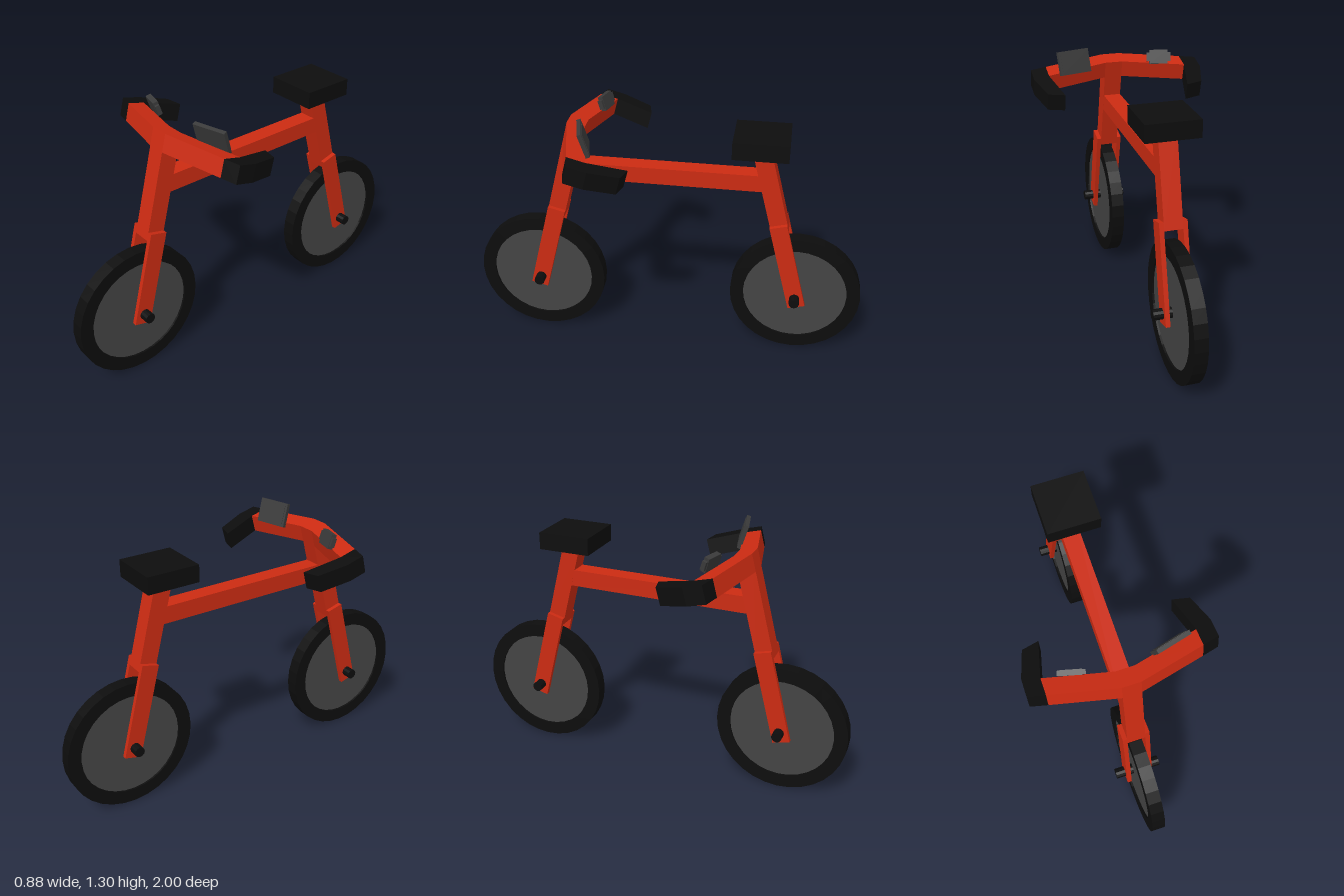
import * as THREE from 'three';

const mat = (color) => new THREE.MeshStandardMaterial({ color, flatShading: true });
const red = mat(0xcc2b12), black = mat(0x0d0d0d), grey = mat(0x444444), darkGrey = mat(0x3a3a3a);

const WHEEL_R = 0.333, AXLE_Z = 0.667, RAKE = 0.255;

function add(parent, name, geometry, material, x = 0, y = 0, z = 0) {
  const mesh = new THREE.Mesh(geometry, material);
  mesh.name = name;
  mesh.position.set(x, y, z);
  parent.add(mesh);
  return mesh;
}

const box = (w, h, d) => new THREE.BoxGeometry(w, h, d);

// cylinder lying along x
const rod = (r, length, sides) => new THREE.CylinderGeometry(r, r, length, sides).rotateZ(Math.PI / 2);

// plan outline (x, forward) turned into a slab hanging down from y = 0
function slab(points, thickness) {
  const shape = new THREE.Shape(points.map(([x, f]) => new THREE.Vector2(x, f)));
  return new THREE.ExtrudeGeometry(shape, { depth: thickness, bevelEnabled: false }).rotateX(Math.PI / 2);
}

function createWheel() {
  const wheel = new THREE.Group();
  wheel.name = 'wheel';
  const w = 0.033, inner = 0.265;
  const profile = [[inner, -w], [WHEEL_R, -w], [WHEEL_R, w], [inner, w], [inner, -w]]
    .map(([r, y]) => new THREE.Vector2(r, y));
  add(wheel, 'tyre', new THREE.LatheGeometry(profile, 32).rotateZ(Math.PI / 2), black);
  add(wheel, 'wheelDisc', rod(inner + 0.005, 0.046, 32), grey);
  add(wheel, 'axle', rod(0.026, 0.23, 12), black);
  return wheel;
}

// wheel, fork blades and the raked tube above; returns the raked group
function createEnd(parent, name, turn, tubeTop) {
  const end = new THREE.Group();
  end.name = name;
  end.rotation.y = turn;
  parent.add(end);

  const raked = new THREE.Group();
  raked.name = name + 'Fork';
  raked.position.set(0, WHEEL_R, AXLE_Z);
  raked.rotation.x = -RAKE;
  end.add(raked);

  const wheel = createWheel();
  wheel.position.copy(raked.position);
  end.add(wheel);

  for (const side of [-1, 1]) {
    add(raked, 'forkBlade', box(0.022, 0.485, 0.088), red, side * 0.056, 0.1885, 0);
  }
  const bottom = 0.39;
  add(raked, 'tube', box(0.09, tubeTop - bottom, 0.088), red, 0, (tubeTop + bottom) / 2, 0);
  return raked;
}

function createHandlebar() {
  const bar = new THREE.Group();
  bar.name = 'handlebar';
  const t = 0.088;
  add(bar, 'bar', slab([
    [-0.36, -0.036], [-0.045, 0.044], [0.045, 0.044], [0.36, -0.036],
    [0.36, -0.125], [0.045, -0.044], [-0.045, -0.044], [-0.36, -0.125],
  ], t), red);
  // grips sweep backwards from the bar ends
  const grip = [[0.36, -0.036], [0.44, -0.057], [0.44, -0.15], [0.398, -0.295], [0.316, -0.315], [0.36, -0.125]];
  for (const side of [-1, 1]) {
    add(bar, 'grip', slab(grip.map(([x, f]) => [side * x, f]), t), black);
  }
  return bar;
}

// small plate on the bar, leaning forward with its face to the rider
function createPanel(name, x, y, z, yaw) {
  const panel = new THREE.Group();
  panel.name = name;
  panel.position.set(x, y, z);
  panel.rotation.set(0.3, yaw, 0, 'YXZ');
  return panel;
}

export function createModel() {
  const bike = new THREE.Group();
  bike.name = 'bicycle';

  const front = createEnd(bike, 'front', 0, 0.9);
  createEnd(bike, 'rear', Math.PI, 0.845);

  const handlebar = createHandlebar();
  handlebar.position.y = 0.916;
  front.add(handlebar);

  add(bike, 'topTube', box(0.089, 0.085, 0.96), red, 0, 0.972, 0);
  add(bike, 'seat', box(0.26, 0.085, 0.265), black, 0, 1.178, -0.452);

  // display on the left
  const display = createPanel('display', 0.221, 1.238, 0.355, 0.25);
  add(display, 'displayCase', box(0.17, 0.12, 0.02), darkGrey);
  add(display, 'displayScreen', box(0.146, 0.098, 0.004), darkGrey, 0, 0, -0.0105);
  bike.add(display);

  // stepped control unit on the right
  const control = createPanel('control', -0.228, 1.232, 0.345, -0.25);
  add(control, 'controlCase', box(0.125, 0.045, 0.022), darkGrey);
  add(control, 'controlCore', box(0.095, 0.072, 0.026), darkGrey);
  bike.add(control);

  return bike;
}
